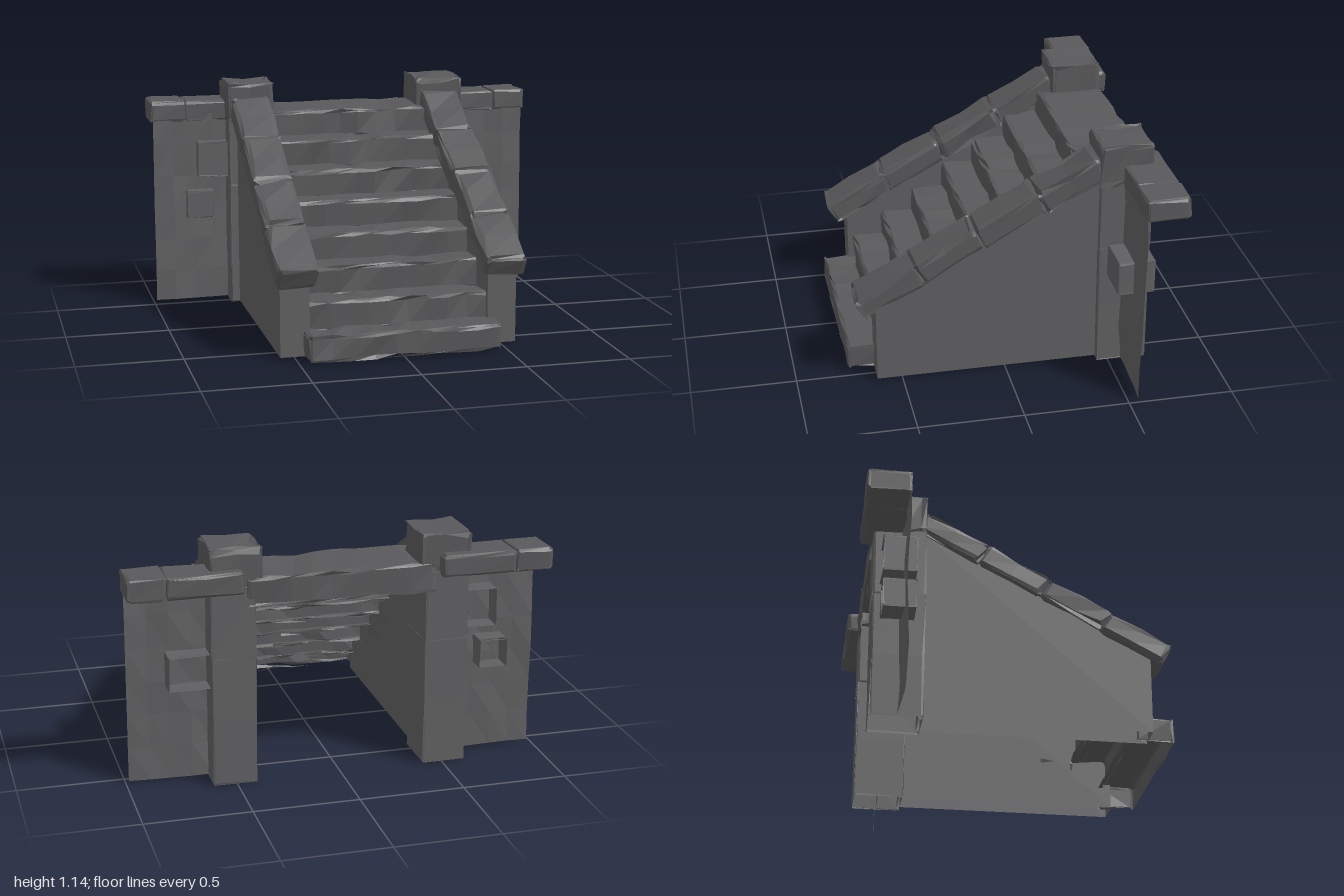
import * as THREE from 'three';

const stone = new THREE.MeshStandardMaterial({ color: 0x59595b, side: THREE.DoubleSide });
stone.name = 'dark grey stone';
const wallStone = new THREE.MeshStandardMaterial({ color: 0x606062, side: THREE.DoubleSide });
wallStone.name = 'grey wall stone';

// Repeatable random value 0..1 from a point and a seed
function hash(x, y, z, seed) {
  let h = 17;
  for (const v of [x, y, z, seed]) {
    h = Math.imul(h ^ (Math.round(v * 1000) + 5000), 0x9e3779b1);
    h ^= h >>> 15;
    h = Math.imul(h, 0x85ebca6b);
    h ^= h >>> 13;
  }
  return (h >>> 0) / 4294967296;
}

// Give every face its own flat normal
function faceted(geometry) {
  const g = geometry.index ? geometry.toNonIndexed() : geometry;
  g.computeVertexNormals();
  return g;
}

// Leave out the faces that look along the directions, so the block is hollow there
function openTowards(geometry, directions) {
  const pos = geometry.attributes.position;
  const kept = [];
  for (let i = 0; i < pos.count; i += 3) {
    const [a, b, c] = [0, 1, 2].map((k) => new THREE.Vector3().fromBufferAttribute(pos, i + k));
    const normal = new THREE.Triangle(a, b, c).getNormal(new THREE.Vector3());
    if (directions.every((d) => normal.dot(d) < 0.6)) kept.push(a, b, c);
  }
  return faceted(new THREE.BufferGeometry().setFromPoints(kept));
}

// Hewn block: a box with uneven bevels and chipped corners
function hewnBlock(size, segs, seed, { bevel = 0.018, rough = 0.006, chips = 0 } = {}) {
  const g = new THREE.BoxGeometry(1, 1, 1, ...segs);
  const pos = g.attributes.position;
  for (let i = 0; i < pos.count; i++) {
    const t = [pos.getX(i) * 2, pos.getY(i) * 2, pos.getZ(i) * 2];
    const onFace = t.map((v) => Math.abs(v) > 0.999);
    const extremes = onFace.filter(Boolean).length;
    const chipped = hash(...t, seed + 0.31) < chips;
    const p = t.map((v, a) => {
      const half = size[a] / 2;
      const rnd = hash(...t, seed + a * 0.053);
      if (!onFace[a]) return v * (half - bevel) / (1 - 2 / segs[a]) + (rnd - 0.5) * rough * 2;
      let inset = rnd * rough;
      if (extremes > 1) inset = bevel * (0.1 + 0.6 * rnd);
      if (chipped) inset += bevel * 0.7;
      return Math.sign(v) * (half - inset);
    });
    pos.setXYZ(i, ...p);
  }
  return faceted(g);
}

export function createModel() {
  const model = new THREE.Group();
  model.name = 'stoneStaircase';
  const down = new THREE.Vector3(0, -1, 0);
  const backward = new THREE.Vector3(0, 0, -1);

  function add(name, geometry, material, x = 0, y = 0, z = 0) {
    const mesh = new THREE.Mesh(geometry, material);
    mesh.name = name;
    mesh.position.set(x, y, z);
    model.add(mesh);
  }

  // Block given by its limits on each axis, hollow towards the open directions
  function blockBetween(name, [x0, x1], [y0, y1], [z0, z1], segs, seed, options = {}) {
    const { open = [], material = stone } = options;
    const g = openTowards(hewnBlock([x1 - x0, y1 - y0, z1 - z0], segs, seed, options), open);
    add(name, g, material, (x0 + x1) / 2, (y0 + y1) / 2, (z0 + z1) / 2);
  }

  // Steps: treads and risers, hollow underneath
  const fronts = [0.75, 0.597, 0.447, 0.287, 0.127, -0.027, -0.195, -0.365];
  fronts.forEach((front, i) => {
    const last = i === fronts.length - 1;
    const back = last ? -0.704 : fronts[i + 1] - 0.04;
    const half = i === 0 ? 0.463 : 0.45;
    const bottom = i === 0 ? 0.005 : i * 0.124 - 0.015;
    blockBetween(last ? 'landing' : 'step' + (i + 1), [-half, half],
      [bottom, 0.138 + i * 0.124], [back, front], [11, 3, 3], i * 3 + 1,
      { bevel: 0.02, rough: 0.006, chips: 0.14, open: last ? [down] : [down, backward] });
  });

  // Outline of the sloping side walls, in z and y
  const profile = new THREE.Shape([
    new THREE.Vector2(0.62, 0.01), new THREE.Vector2(0.62, 0.39),
    new THREE.Vector2(-0.46, 0.97), new THREE.Vector2(-0.46, 0.01),
  ]);
  const wallBlock = new THREE.ExtrudeGeometry(profile, { depth: 0.14, bevelEnabled: false });
  wallBlock.rotateY(-Math.PI / 2);
  wallBlock.translate(0.07, 0, 0);
  const sideWall = openTowards(wallBlock, [down]);

  // Coping stone centres along the slope, as z and y
  const coping = [[0.55, 0.475], [0.272, 0.635], [-0.022, 0.79], [-0.315, 0.945]];

  for (const side of [1, -1]) {
    const label = side > 0 ? 'left' : 'right';
    const span = (a, b) => (side > 0 ? [a, b] : [-b, -a]);
    const seed = side > 0 ? 40 : 80;

    add(label + 'SideWall', sideWall, wallStone, side * 0.5, 0, 0);

    // Coping stones laid down the slope
    coping.forEach(([z, y], i) => {
      const width = 0.194 + 0.012 * hash(i, side, 0, seed);
      const stoneGeo = hewnBlock([width, 0.122, 0.342], [3, 3, 4], seed + i * 2,
        { bevel: 0.026, rough: 0.009, chips: 0.08 });
      stoneGeo.rotateX(0.5 + (hash(i, 0, side, seed) - 0.5) * 0.04);
      add(label + 'Coping' + (i + 1), stoneGeo, stone, side * 0.497 - 0.005, y, z);
    });

    // Hollow post of two blocks with a cap
    const postOptions = { bevel: 0.01, rough: 0.006, open: [down], material: wallStone };
    blockBetween(label + 'PostLower', span(0.4, 0.614), [0, 0.625], [-0.69, -0.44], [3, 4, 3], seed + 11, postOptions);
    blockBetween(label + 'PostUpper', span(0.4, 0.614), [0.612, 0.96], [-0.693, -0.438], [3, 3, 3], seed + 12, postOptions);
    blockBetween(label + 'PostCap', span(0.368, 0.622), [0.93, 1.147], [-0.697, -0.43], [4, 3, 4], seed + 13,
      { bevel: 0.028, rough: 0.016 });

    // Thin wing wall with a slightly uneven face
    const wing = new THREE.PlaneGeometry(0.4, 0.97, 4, 6);
    const p = wing.attributes.position;
    for (let i = 0; i < p.count; i++) {
      p.setZ(i, (hash(p.getX(i), p.getY(i), 0, seed) - 0.5) * 0.018);
    }
    add(label + 'WingWall', faceted(wing), wallStone, side * 0.785, 0.495, -0.555);

    // Wing wall coping
    blockBetween(label + 'WingCopingInner', span(0.465, 0.826), [0.937, 1.045], [-0.752, -0.545], [4, 3, 3], seed + 14);
    blockBetween(label + 'WingCopingOuter', span(0.817, 1), [0.937, 1.05], [-0.754, -0.543], [3, 3, 3], seed + 15);
  }

  // Single stones set through the wing walls, hollow at the back
  const stoneOptions = { bevel: 0.01, rough: 0.006, open: [backward], material: wallStone };
  blockBetween('leftWingStone', [0.605, 0.807], [0.47, 0.639], [-0.66, -0.48], [3, 3, 3], 121, stoneOptions);
  blockBetween('rightWingStoneUpper', [-0.767, -0.6], [0.655, 0.842], [-0.66, -0.493], [3, 3, 3], 122, stoneOptions);
  blockBetween('rightWingStoneLower', [-0.827, -0.685], [0.443, 0.589], [-0.66, -0.497], [3, 3, 3], 123, stoneOptions);

  return model;
}
